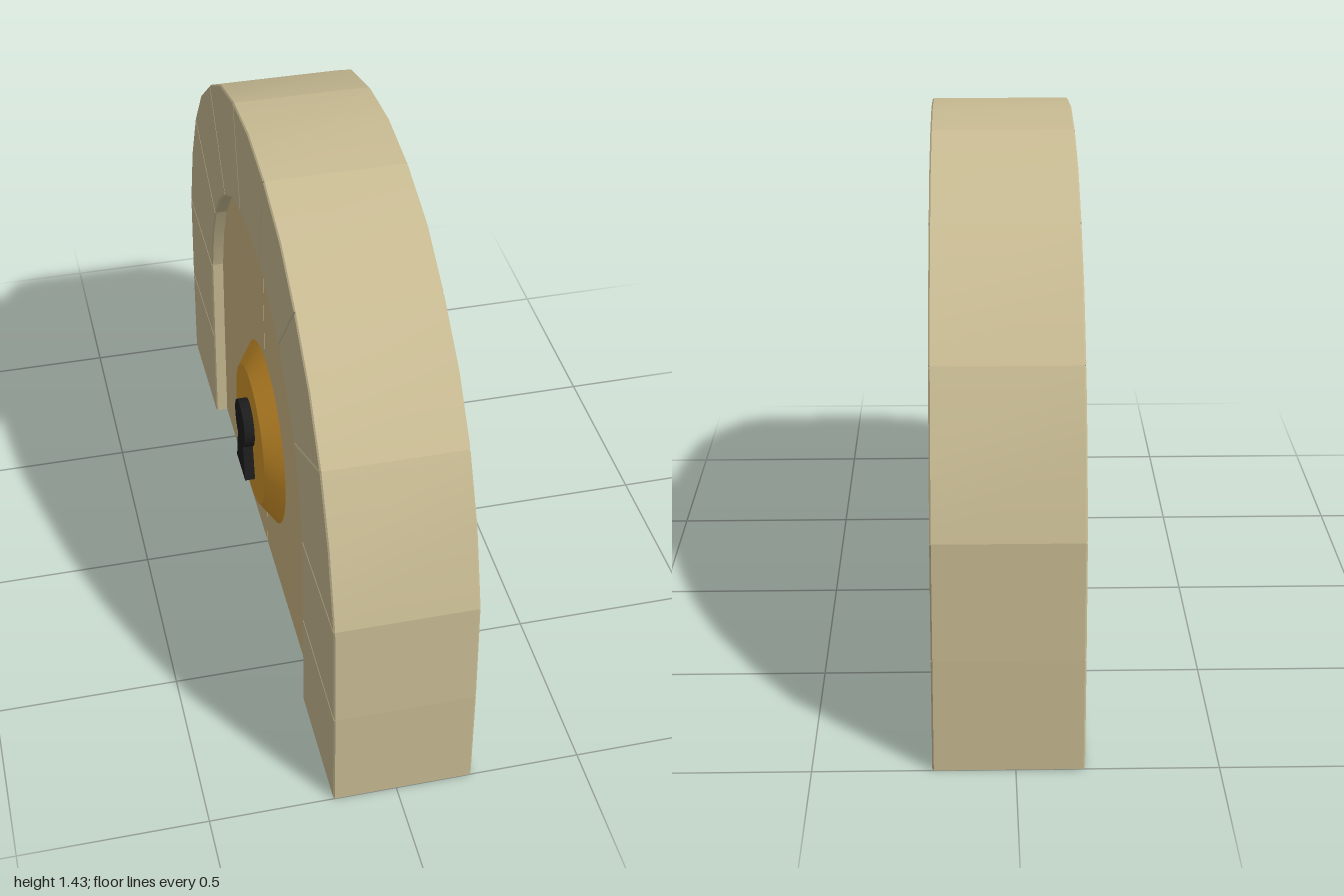
import * as THREE from 'three';
import { toCreasedNormals } from 'three/addons/utils/BufferGeometryUtils.js';

const mat = (color, extra = {}) => new THREE.MeshStandardMaterial({ color, ...extra });
const STONE = mat(0xc8bb93);
const WOOD = mat(0xceb684);
const BRASS = mat(0xd0932a);
const BLACK = mat(0x1c1c1c);

// Half outlines as [z, y], two steps per voussoir from springing to crown
const OUTER = [[0.985, 0.6], [0.92, 0.815], [0.83, 0.99], [0.71, 1.14], [0.553, 1.263],
  [0.39, 1.357], [0.195, 1.412], [0, 1.432]];
const INNER = [[0.63, 0.585], [0.592, 0.727], [0.535, 0.84], [0.457, 0.935], [0.357, 1.015],
  [0.246, 1.077], [0.128, 1.112], [0, 1.12]];
const mirror = (pts) => pts.map(([z, y]) => [-z, y]);

// Extrudes a [z, y] outline along x, from x0 to x1, with a small chamfer
function slab(name, shape, x0, x1, material, bevel = 0) {
  const geo = new THREE.ExtrudeGeometry(shape, {
    depth: x1 - x0 - 2 * bevel, bevelEnabled: bevel > 0, bevelThickness: bevel,
    bevelSize: bevel, bevelOffset: -bevel, bevelSegments: 1, curveSegments: 16,
  });
  geo.translate(0, 0, x0 + bevel).rotateY(Math.PI / 2);
  const mesh = new THREE.Mesh(toCreasedNormals(geo, 0.5), material);
  mesh.name = name;
  return mesh;
}

// The quarter turn sends shape x to -z, so outlines are flipped here
const outline = (pts) => new THREE.Shape(pts.map(([z, y]) => new THREE.Vector2(-z, y)));

export function createModel() {
  const model = new THREE.Group();
  model.name = 'archedDoor';

  // Stone arch: two pier blocks and three voussoirs a side, and a keystone
  const arch = new THREE.Group();
  arch.name = 'stoneArch';
  const blocks = [
    ['lowerPier', [[0.64, 0], [1, 0], [0.998, 0.298], [0.637, 0.308]]],
    ['upperPier', [[0.637, 0.308], [0.998, 0.298], [0.985, 0.6], [0.63, 0.585]]],
  ];
  for (let i = 0; i < 6; i += 2) {
    blocks.push([`voussoir${i / 2 + 1}`,
      [...OUTER.slice(i, i + 3), ...INNER.slice(i, i + 3).reverse()]]);
  }
  for (const [name, pts] of blocks) {
    arch.add(slab(`${name}Front`, outline(pts), -0.17, 0.205, STONE, 0.004));
    arch.add(slab(`${name}Back`, outline(mirror(pts)), -0.17, 0.205, STONE, 0.004));
  }
  const topOut = OUTER.slice(6);
  const topIn = INNER.slice(6);
  const keystone = [...topOut, [-topOut[0][0], topOut[0][1]],
    [-topIn[0][0], topIn[0][1]], topIn[1], topIn[0]];
  arch.add(slab('keystone', outline(keystone), -0.17, 0.205, STONE, 0.004));
  model.add(arch);

  // Two door leaves with a narrow gap between them
  const gap = 0.002;
  const leaf = [[gap, 0], [0.64, 0], [0.637, 0.308], ...INNER.slice(0, -1), [gap, 1.12]];
  model.add(slab('doorLeafFront', outline(leaf), -0.135, 0.17, WOOD));
  model.add(slab('doorLeafBack', outline(mirror(leaf)), -0.135, 0.17, WOOD));

  // Bevelled round lock plate
  const plate = new THREE.CylinderGeometry(0.204, 0.268, 0.046, 32).rotateZ(Math.PI / 2);
  const lock = new THREE.Mesh(toCreasedNormals(plate, 0.5), BRASS);
  lock.name = 'lockPlate';
  lock.position.set(-0.158, 0.43, 0);
  model.add(lock);

  // Keyhole: round head on a flared slot
  const a = Math.asin(0.06 / 0.07);
  const hole = new THREE.Shape();
  hole.moveTo(-0.06, 0.308);
  hole.lineTo(0.06, 0.308);
  hole.lineTo(0.07 * Math.cos(a), 0.415);
  hole.absarc(0, 0.475, 0.07, -a, Math.PI + a, false);
  hole.closePath();
  model.add(slab('keyhole', hole, -0.21, -0.178, BLACK));

  return model;
}
